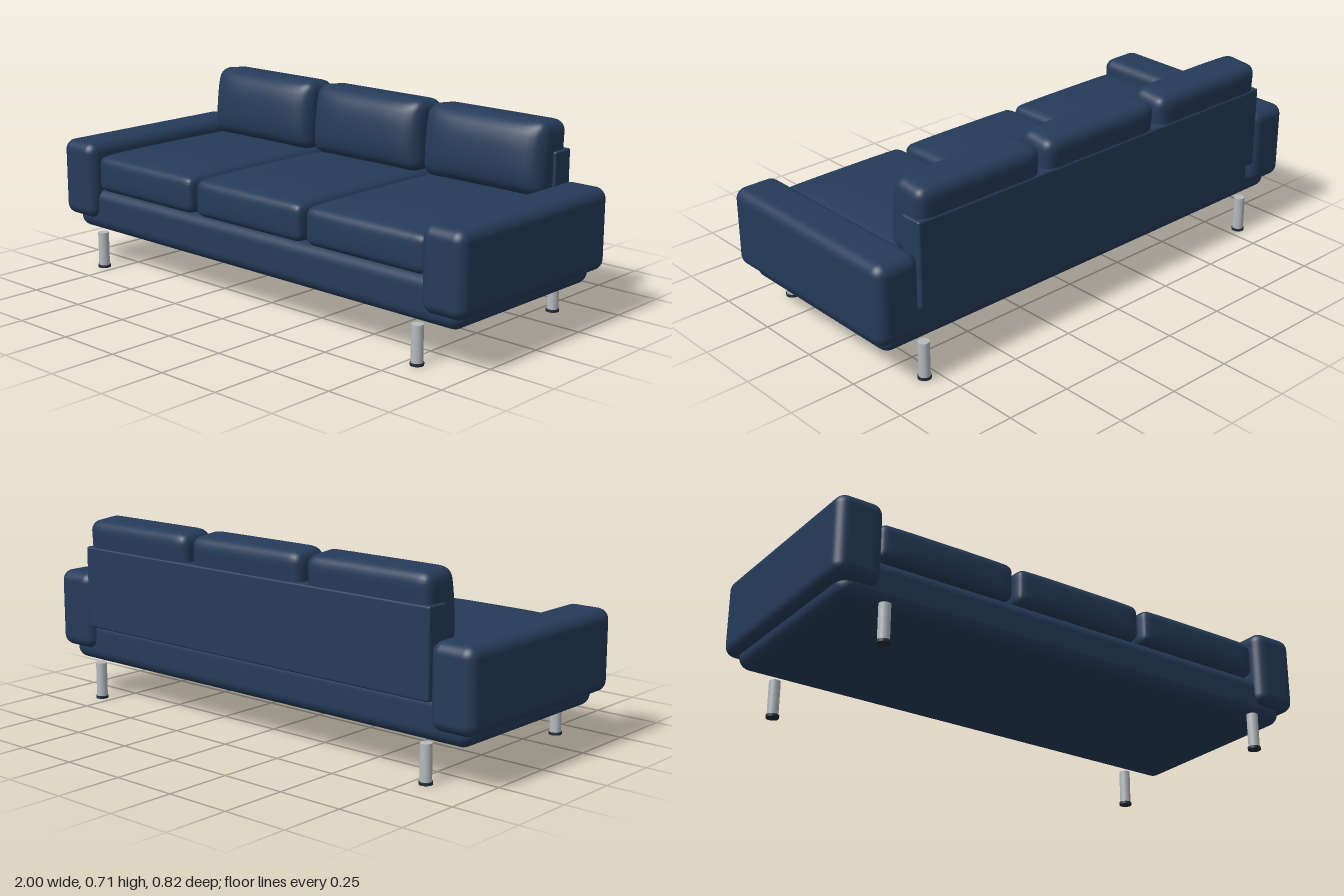
import * as THREE from 'three';
import { mergeVertices } from 'three/addons/utils/BufferGeometryUtils.js';
import { RoundedBoxGeometry } from 'three/addons/geometries/RoundedBoxGeometry.js';

const fabric = new THREE.MeshStandardMaterial({ color: 0x253b59 });
fabric.name = 'navy fabric';
const metal = new THREE.MeshStandardMaterial({ color: 0xb4babe });
metal.name = 'brushed metal';
const rubber = new THREE.MeshStandardMaterial({ color: 0x232d3a });
rubber.name = 'dark foot pad';

// Finely divided rounded box; shape(point, u, v, w) bends it, with u, v, w in -1..1
function cushionGeometry(w, h, d, r, shape) {
  let geo = new THREE.BoxGeometry(2, 2, 2, 20, 20, 20);
  geo.deleteAttribute('uv');
  geo.deleteAttribute('normal');
  geo = mergeVertices(geo, 1e-4);
  const half = new THREE.Vector3(w / 2, h / 2, d / 2);
  const inner = half.clone().subScalar(r);
  const p = new THREE.Vector3(), core = new THREE.Vector3();
  const pos = geo.attributes.position;
  for (let i = 0; i < pos.count; i++) {
    p.fromBufferAttribute(pos, i);
    // crowd the divisions towards the edges
    p.set(...p.toArray().map((t) => Math.sin(t * Math.PI / 2))).multiply(half);
    core.copy(p).clamp(inner.clone().negate(), inner);
    p.sub(core).setLength(r).add(core);
    shape(p, p.x / half.x, p.y / half.y, p.z / half.z);
    pos.setXYZ(i, p.x, p.y, p.z);
  }
  geo.computeVertexNormals();
  return geo;
}

export function createModel() {
  const sofa = new THREE.Group();
  sofa.name = 'sofa';

  function add(name, geo, material, x, y, z) {
    const mesh = new THREE.Mesh(geo, material);
    mesh.name = name;
    mesh.position.set(x, y, z);
    sofa.add(mesh);
  }
  // Rounded box given by its lower and upper limits in y and z
  function block(name, x, w, y0, y1, z0, z1, r) {
    const geo = new RoundedBoxGeometry(w, y1 - y0, z1 - z0, 6, r);
    add(name, geo, fabric, x, (y0 + y1) / 2, (z0 + z1) / 2);
  }

  // Frame
  block('base', 0, 1.92, 0.14, 0.305, -0.378, 0.378, 0.045);
  block('backPanel', 0, 1.66, 0.285, 0.6, -0.41, -0.32, 0.008);
  for (const s of [-1, 1]) {
    block(s > 0 ? 'leftArm' : 'rightArm', s * 0.912, 0.176, 0.19, 0.49, -0.41, 0.413, 0.042);
  }

  // Seat cushions with a soft crown on top and a slight swell at the front
  const seat = cushionGeometry(0.535, 0.14, 0.71, 0.032, (p, u, v, w) => {
    if (v > 0) p.y += 0.016 * v * (1 - u ** 4) * (1 - w ** 4);
    if (w > 0) p.z += 0.006 * w * (1 - u * u) * (1 - v * v);
  });

  // Back cushions: front leans back and bulges, top falls slightly to the rear
  const back = cushionGeometry(0.53, 0.275, 0.175, 0.045, (p, u, v, w) => {
    const front = (w + 1) / 2;
    const rise = (v + 1) / 2;
    p.z -= front * 0.028 * rise ** 2;
    p.z += front * 0.038 * (1 - u ** 4) * (1 - Math.abs(v) ** 3);
    if (w < 0) p.z -= w * 0.012 * (1 - rise);
    if (v > 0) p.y -= 0.014 * v * (1 - front);
  });

  for (const x of [-0.555, 0, 0.555]) {
    add('seatCushion', seat, fabric, x, 0.372, 0.027);
    add('backCushion', back, fabric, x, 0.578, -0.324);
  }

  // Legs with dark pads
  const leg = new THREE.CylinderGeometry(0.021, 0.021, 0.135, 32);
  const pad = new THREE.CylinderGeometry(0.024, 0.024, 0.01, 32);
  for (const x of [-0.8, 0.8]) {
    for (const z of [-0.378, 0.381]) {
      add('leg', leg, metal, x, 0.0735, z);
      add('footPad', pad, rubber, x, 0.005, z);
    }
  }
  return sofa;
}
